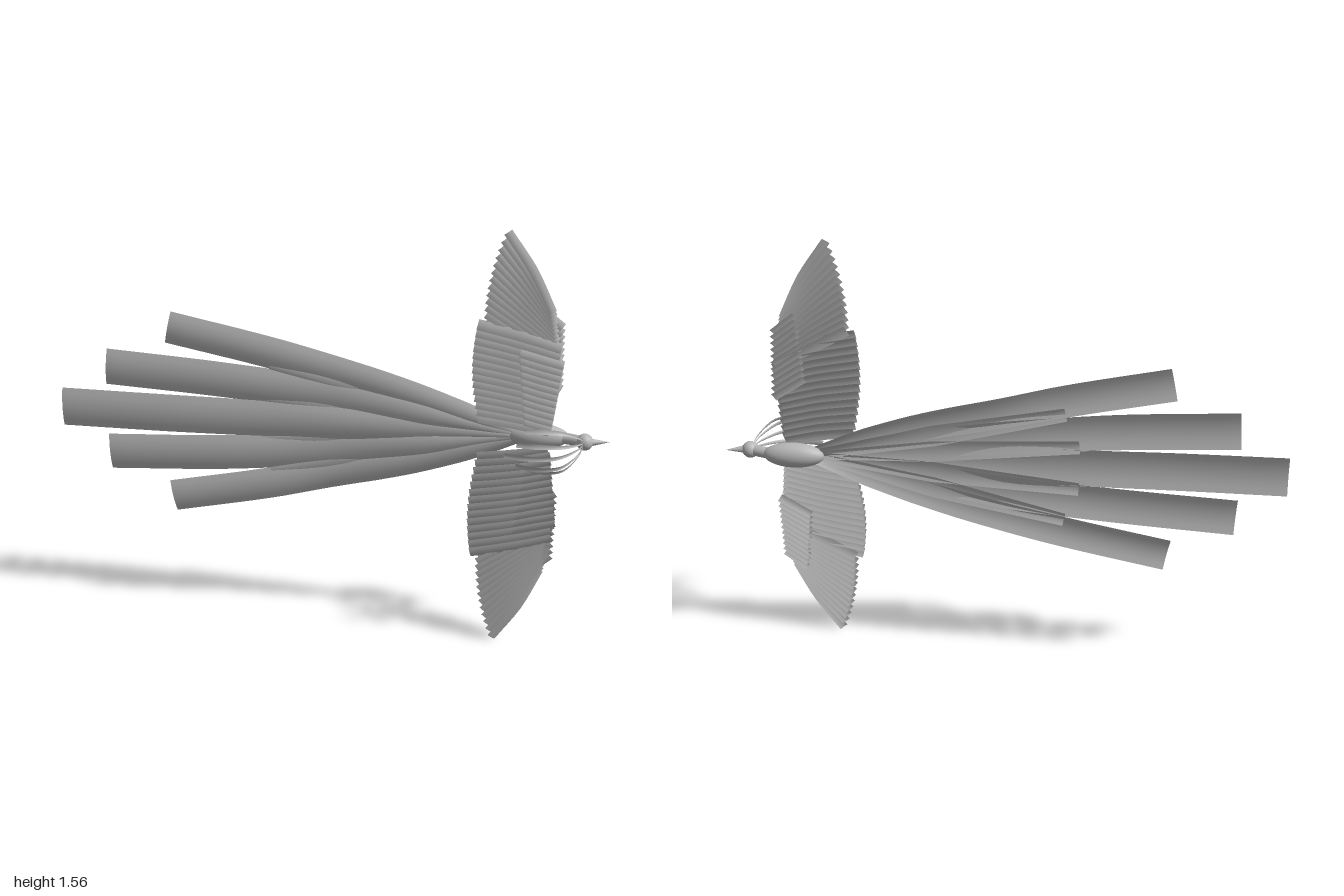
import * as THREE from 'three';

const MID = 0.782; // height of the body axis
const plumage = new THREE.MeshStandardMaterial({ color: 0xb8b8b8, side: THREE.DoubleSide });
plumage.name = 'grey plumage';

const lerp = THREE.MathUtils.lerp;
const V = (x, y, z) => new THREE.Vector3(x, y, z);

// A blunt feather: a strip swept along a curve, width given at even steps,
// arched across (arch) and tilted (roll). side overrides the sideways direction.
function feather(points, widths, { arch = 0.004, roll = 0, side = null, nu = 12, nv = 4 } = {}) {
  const curve = new THREE.CatmullRomCurve3(points);
  const pos = [], index = [];
  for (let i = 0; i <= nu; i++) {
    const t = i / nu, p = curve.getPoint(t), tan = curve.getTangent(t);
    const s = side ? side.clone() : V(0, 0, 1).cross(tan).normalize();
    const n = tan.clone().cross(s).normalize();
    const k = Math.min(t * (widths.length - 1), widths.length - 1.0001), a = Math.floor(k);
    const w = lerp(widths[a], widths[a + 1], k - a);
    for (let j = 0; j <= nv; j++) {
      const v = (j / nv) * 2 - 1;
      const q = p.clone().addScaledVector(s, (v * w) / 2)
        .addScaledVector(n, arch * (1 - v * v) + roll * v);
      pos.push(q.x, q.y, q.z);
      if (i < nu && j < nv) {
        const b = i * (nv + 1) + j, c = b + nv + 1;
        index.push(b, c, b + 1, b + 1, c, c + 1);
      }
    }
  }
  const g = new THREE.BufferGeometry();
  g.setAttribute('position', new THREE.Float32BufferAttribute(pos, 3));
  g.setIndex(index);
  g.computeVertexNormals();
  return g;
}

function add(parent, geometry, name) {
  const m = new THREE.Mesh(geometry, plumage);
  m.name = name;
  parent.add(m);
  return m;
}

// Height of the wing surface at distance d from the body axis
const wingZ = d => -0.06 + 0.16 * d - 0.082 * d * d;

// One wing feather from base to tip, bowed slightly outwards
function wingFeather(parent, name, bx, bd, tx, td, w0, w1, lift, bow = 0) {
  const mx = (bx + tx) / 2 + bow, md = (bd + td) / 2 + bow;
  const pts = [[bx, bd], [mx, md], [tx, td]].map(([x, d]) => V(x, d, wingZ(d) + lift));
  add(parent, feather(pts, [w0, w1, w1 * 0.95], { arch: 0.003, roll: 0.004, nu: 8 }), name);
}

function makeWing() {
  const wing = new THREE.Group();
  // Secondaries: broad inner panel
  for (let i = 0; i < 14; i++) {
    const t = i / 13;
    wingFeather(wing, 'secondary', lerp(0.785, 0.815, t), lerp(0.035, 0.36, t),
      0.537 - 0.024 * Math.sin(Math.PI * Math.min(1, t * 0.85)), lerp(0.075, 0.435, t), 0.034, 0.04, 0.004, 0.004);
  }
  // Primaries: fan out to the wing tip
  for (let i = 0; i < 13; i++) {
    const t = i / 12;
    wingFeather(wing, 'primary', lerp(0.815, 0.78, t), lerp(0.31, 0.49, t),
      lerp(0.555, 0.617, t * t), lerp(0.45, 0.77, t), 0.026, lerp(0.042, 0.032, t), -0.004, 0.008 * t);
  }
  // Coverts: two short rows over the front edge, inner and outer
  for (let i = 0; i < 11; i++) {
    const t = i / 10;
    wingFeather(wing, 'covert', lerp(0.795, 0.825, t), lerp(0.05, 0.3, t),
      lerp(0.7, 0.675, t), lerp(0.075, 0.34, t), 0.03, 0.034, 0.012);
    wingFeather(wing, 'outerCovert', lerp(0.82, 0.815, t), lerp(0.2, 0.435, t),
      lerp(0.71, 0.735, t), lerp(0.27, 0.5, t), 0.03, 0.03, -0.011);
  }
  return wing;
}

function makeTail() {
  const tail = new THREE.Group();
  const z = x => -0.082 - 0.015 * Math.exp(-((x - 0.02) ** 2) / 0.09)
    + 0.008 * Math.exp(-((x - 0.42) ** 2) / 0.02) - 0.01 * x * (x > 0 ? 0.5 : 1) * (x < 0 ? -1 : 1)
    + (x < -0.3 ? 0.004 * (-0.3 - x) : 0);
  const plume = (name, pts, widths, lift, arch) =>
    add(tail, feather(pts.map(([x, y]) => V(x, y, z(x) + lift)), widths, { arch, nu: 28, nv: 6 }), name);
  // Long centre plume
  plume('centrePlume', [[0.7, 0], [0.3, 0], [-0.2, 0], [-0.6, 0], [-0.998, 0]],
    [0.03, 0.1, 0.14, 0.146, 0.148], 0.002, 0.012);
  for (const s of [1, -1]) {
    plume('sidePlume', [[0.7, 0], [0.35, 0.055 * s], [0, 0.105 * s], [-0.4, 0.143 * s], [-0.825, 0.168 * s]],
      [0.03, 0.1, 0.128, 0.135, 0.138], 0, 0.012);
    plume('outerPlume', [[0.7, 0], [0.54, 0.052 * s], [0.3, 0.127 * s], [0, 0.202 * s], [-0.25, 0.262 * s], [-0.59, 0.332 * s]],
      [0.04, 0.088, 0.11, 0.12, 0.122], -0.002, 0.012);
    // Short plumes filling the gaps near the base
    plume('shortInnerPlume', [[0.68, 0], [0.25, 0.04 * s], [-0.27, 0.082 * s]], [0.03, 0.08, 0.05], -0.004, 0.006);
    plume('shortOuterPlume', [[0.68, 0], [0.25, 0.1 * s], [-0.22, 0.205 * s]], [0.03, 0.08, 0.05], -0.004, 0.006);
  }
  return tail;
}

function makeCrest() {
  const crest = new THREE.Group();
  const rows = [[0, 1, 0.64], [14, 0.98, 0.68], [-14, 0.98, 0.68], [33, 0.78, 0.71], [-33, 0.78, 0.71]];
  for (const [deg, k, endX] of rows) {
    const a = THREE.MathUtils.degToRad(deg);
    const pts = [[1, 0.02], [0.92, 0.08], [0.66, 0.165], [0.3, 0.182], [0, 0.165]].map(([u, r]) =>
      V(lerp(endX, 0.91, u), Math.sin(a) * r * k, -0.06 + Math.cos(a) * r * k));
    add(crest, feather(pts, [0.004, 0.008, 0.014, 0.02, 0.018],
      { arch: 0.002, side: V(0, Math.cos(a), -Math.sin(a)), nu: 18 }), 'crestFeather');
  }
  return crest;
}

export function createModel() {
  const bird = new THREE.Group();
  bird.name = 'bird';

  // Body and head
  const body = add(bird, new THREE.SphereGeometry(1, 32, 20), 'body');
  body.scale.set(0.11, 0.045, 0.042);
  body.position.set(0.748, MID, -0.09);
  const head = add(bird, new THREE.SphereGeometry(0.03, 24, 16), 'head');
  head.position.set(0.912, MID, -0.06);

  // Neck joining body and head
  const neckPath = new THREE.CatmullRomCurve3([V(0.81, MID, -0.088), V(0.86, MID, -0.078), V(0.91, MID, -0.06)]);
  add(bird, new THREE.TubeGeometry(neckPath, 10, 0.02, 16), 'neck');

  // Beak
  const beak = add(bird, new THREE.ConeGeometry(0.014, 0.068, 16), 'beak');
  beak.rotation.z = -Math.PI / 2;
  beak.rotation.y = 0.2;
  beak.position.set(0.966, MID, -0.067);

  // Mirrored wings, tail and crest
  for (const s of [1, -1]) {
    const wing = makeWing();
    wing.name = s > 0 ? 'upperWing' : 'lowerWing';
    wing.scale.y = s;
    wing.position.y = MID;
    bird.add(wing);
  }
  const tail = makeTail();
  tail.name = 'tail';
  const crest = makeCrest();
  crest.name = 'crest';
  for (const part of [tail, crest]) {
    part.position.y = MID;
    bird.add(part);
  }
  return bird;
}
